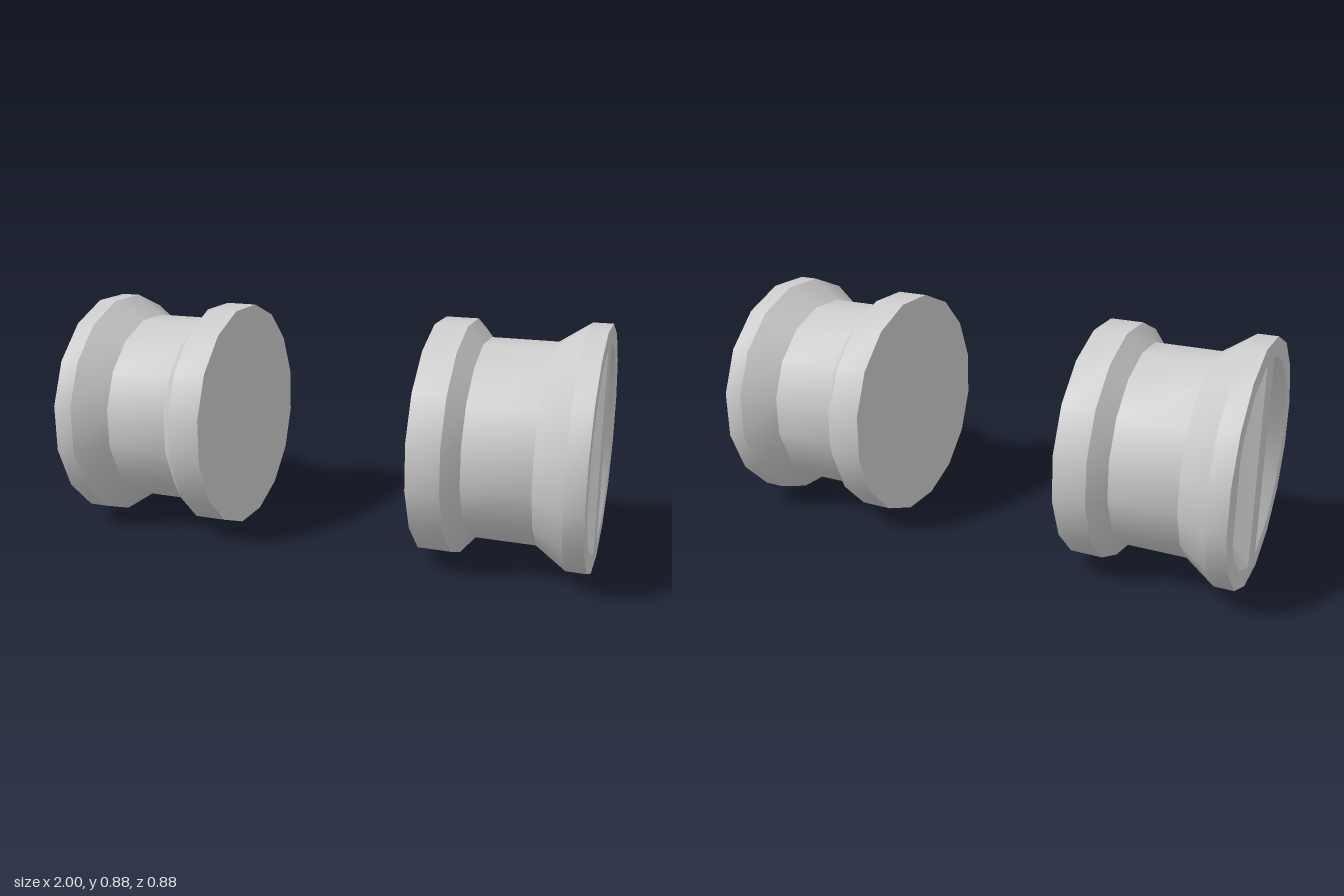
import * as THREE from 'three';
import { toCreasedNormals } from 'three/addons/utils/BufferGeometryUtils.js';

const SIDES = 16;
const HALF_STEP = Math.PI / SIDES;
const AXIS_Y = 0.4425; // height of the wheel axis
const DEPTH = 0.055;   // depth of the recesses in the outer face
const vertexRadius = (flat) => flat / Math.cos(HALF_STEP);

// D-shaped half of the 16-gon on one side of the bar, counter-clockwise.
// flat: centre-to-side distance, top/bottom: half width of the bar at each end
function halfOutline(side, flat, top, bottom) {
  const R = vertexRadius(flat);
  const pts = [];
  for (let i = 0; i < SIDES / 2; i++) {
    const a = HALF_STEP * (2 * i + 1);
    pts.push([R * Math.sin(a), R * Math.cos(a)]);
  }
  const slope = Math.tan(2 * HALF_STEP);
  const cutY = (c) => flat - Math.max(0, c - pts[0][0]) * slope;
  const start = [top, cutY(top)];
  const end = [bottom, -cutY(bottom)];
  if (pts[0][0] < top) pts[0] = start;
  if (pts[pts.length - 1][0] < bottom) pts[pts.length - 1] = end;
  const all = [start, ...pts, end].map(([u, v]) => new THREE.Vector2(side * u, v));
  return side > 0 ? all.reverse() : all;
}

// Sloping walls and floor of one recess
function recessGeometry(rim, floor) {
  const pos = [];
  const tri = (...ps) => ps.forEach(([p, n]) => pos.push(p.x, p.y, n));
  const centre = floor.reduce((s, p) => s.add(p), new THREE.Vector2()).divideScalar(floor.length);
  for (let i = 0; i < rim.length; i++) {
    const j = (i + 1) % rim.length;
    const a = [rim[i], 0], b = [rim[j], 0];
    const c = [floor[j], -DEPTH], d = [floor[i], -DEPTH];
    tri(a, b, c);
    if (floor[i].distanceTo(floor[j]) > 1e-6) {
      tri(a, c, d);
      tri([centre, -DEPTH], d, c);
    }
  }
  const g = new THREE.BufferGeometry();
  g.setAttribute('position', new THREE.Float32BufferAttribute(pos, 3));
  return toCreasedNormals(g, 0.5);
}

function createWheel(material) {
  const wheel = new THREE.Group();
  const add = (name, geometry) => {
    const mesh = new THREE.Mesh(geometry, material);
    mesh.name = name;
    wheel.add(mesh);
  };

  // Spool body: inner flange, barrel and flared outer flange
  const profile = [
    [0, 0.393], [0.432, 0.393], [0.432, 0.515], [0.368, 0.57],
    [0.368, 0.815], [0.4425, 0.928], [0.4425, 1],
  ].map(([flat, x]) => new THREE.Vector2(vertexRadius(flat), x));
  const body = new THREE.LatheGeometry(profile, SIDES, HALF_STEP);
  body.rotateZ(-Math.PI / 2);
  add('spoolBody', toCreasedNormals(body, 0.5));

  // Outer face with two recesses that leave a bar across the middle
  const R = vertexRadius(0.4425);
  const face = new THREE.Shape(Array.from({ length: SIDES }, (_, i) => {
    const a = HALF_STEP * (2 * i + 1);
    return new THREE.Vector2(R * Math.cos(a), R * Math.sin(a));
  }));
  for (const side of [-1, 1]) {
    const rim = halfOutline(side, 0.375, 0.055, side < 0 ? 0.047 : 0.055);
    const floor = halfOutline(side, 0.305, 0.083, 0.083);
    face.holes.push(new THREE.Path(rim));
    const recess = recessGeometry(rim, floor);
    recess.rotateY(Math.PI / 2).translate(1, 0, 0);
    add(side < 0 ? 'frontRecess' : 'backRecess', recess);
  }
  const faceGeometry = new THREE.ShapeGeometry(face);
  faceGeometry.rotateY(Math.PI / 2).translate(1, 0, 0);
  add('outerFaceAndBar', faceGeometry);

  wheel.position.y = AXIS_Y;
  return wheel;
}

export function createModel() {
  const model = new THREE.Group();
  model.name = 'wheelPair';
  const material = new THREE.MeshStandardMaterial({ color: 0xcccccc });

  // The right wheel is the left one turned half way round
  ['leftWheel', 'rightWheel'].forEach((name, i) => {
    const wheel = createWheel(material);
    wheel.name = name;
    wheel.rotation.y = i * Math.PI;
    model.add(wheel);
  });
  return model;
}
